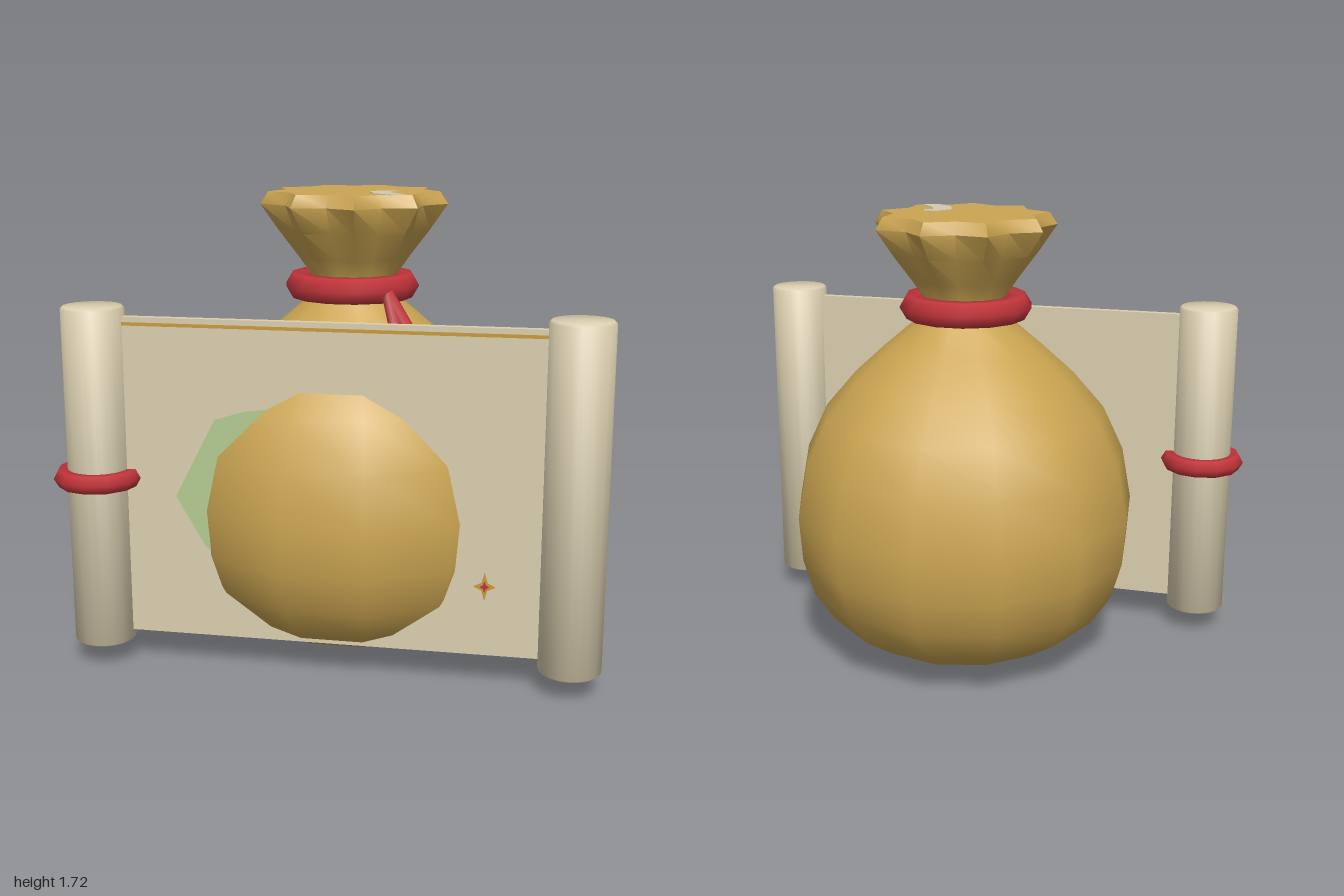
import * as THREE from 'three';
import { mergeVertices, toCreasedNormals } from 'three/addons/utils/BufferGeometryUtils.js';

const mat = (name, color) => {
  const m = new THREE.MeshStandardMaterial({ color });
  m.name = name;
  return m;
};
const v2 = (list) => list.map(([x, y]) => new THREE.Vector2(x, y));

export function createModel() {
  const gold = mat('sackGold', 0xcba552);
  const red = mat('cordRed', 0xc0343a);
  const paper = mat('paper', 0xdbcfb0);
  const green = mat('paleGreen', 0xb4cc92);
  const ochre = mat('ochre', 0xc99a3c);
  const pale = mat('palePatch', 0xd2cab2);

  const model = new THREE.Group();
  model.name = 'sackAndScroll';
  const add = (name, geometry, material, x = 0, y = 0, z = 0, parent = model) => {
    const mesh = new THREE.Mesh(geometry, material);
    mesh.name = name;
    mesh.position.set(x, y, z);
    parent.add(mesh);
    return mesh;
  };

  // Lathe whose radius may be pleated by angle, with seamless smooth normals
  const lathe = (profile, sides, start, pleat) => {
    let g = new THREE.LatheGeometry(v2(profile), sides, start);
    g.deleteAttribute('uv');
    g.deleteAttribute('normal');
    if (pleat) {
      const p = g.attributes.position;
      for (let i = 0; i < p.count; i++) {
        const k = pleat(Math.atan2(p.getZ(i), p.getX(i)), p.getY(i));
        p.setX(i, p.getX(i) * k);
        p.setZ(i, p.getZ(i) * k);
      }
    }
    g = mergeVertices(g, 1e-4);
    g.computeVertexNormals();
    return g;
  };
  const plate = (points, depth = 0.004) =>
    new THREE.ExtrudeGeometry(new THREE.Shape(v2(points)), { depth, bevelEnabled: false });

  // Sack
  const sack = new THREE.Group();
  sack.name = 'sack';
  sack.position.x = 0.03;
  model.add(sack);
  add('sackBody', lathe([
    [0, 0], [0.21, 0.035], [0.4, 0.085], [0.525, 0.17], [0.605, 0.29], [0.645, 0.43],
    [0.657, 0.6], [0.62, 0.8], [0.54, 0.97], [0.42, 1.11], [0.3, 1.22], [0.17, 1.33], [0.14, 1.39],
  ], 13, Math.PI), gold, 0, 0, 0, sack);

  // Pleated mouth: nine folds that deepen towards the rim
  const mouth = lathe([
    [0.14, 1.34], [0.15, 1.4], [0.2, 1.48], [0.265, 1.58], [0.317, 1.675], [0.29, 1.72], [0, 1.72],
  ], 18, Math.PI / 2, (a, y) =>
    1 + 0.1 * THREE.MathUtils.clamp((y - 1.38) / 0.3, 0, 1) * Math.cos(9 * a));
  add('sackMouth', toCreasedNormals(mouth, 0.9), gold, 0, 0, 0, sack);

  // Curved pale patch lying on the closed mouth
  const patch = plate([
    [0.1, -0.08], [0.13, -0.03], [0.19, -0.015], [0.2, -0.04], [0.17, -0.07],
    [0.19, -0.12], [0.25, -0.2], [0.2, -0.23], [0.13, -0.17],
  ], 0.002).rotateX(-Math.PI / 2);
  add('mouthPatch', patch, pale, 0, 1.72, 0);

  // Tie around the neck with two hanging ends
  const cordRing = (radius, tube, sides) =>
    new THREE.TorusGeometry(radius, tube, 6, sides).rotateX(Math.PI / 2);
  add('neckTie', cordRing(0.2, 0.052, 14), red, 0.025, 1.375, 0.01);
  [[0.36, 1.1, 0.265], [0.275, 1.08, 0.285]].forEach((end, i) => {
    const a = new THREE.Vector3(0.185, 1.365, 0.175);
    const b = new THREE.Vector3(...end);
    const dir = b.clone().sub(a);
    const tail = add('tieEnd' + (i + 1),
      new THREE.CylinderGeometry(0.024, 0.03, dir.length(), 6), red);
    tail.position.copy(a).add(b).multiplyScalar(0.5);
    tail.quaternion.setFromUnitVectors(new THREE.Vector3(0, -1, 0), dir.normalize());
  });

  // Scroll sheet
  const front = 0.458;
  add('scrollSheet', new THREE.BoxGeometry(1.58, 1.18, 0.03), paper, 0.025, 0.71, front - 0.015);
  add('sheetStripe', new THREE.BoxGeometry(1.52, 0.012, 0.004), ochre, 0.025, 1.275, front + 0.001);

  // Rolled ends
  for (const [name, x] of [['rightRoll', -0.835], ['leftRoll', 0.885]]) {
    add(name, toCreasedNormals(lathe([
      [0, 0.08], [0.105, 0.08], [0.113, 0.088], [0.113, 1.327], [0.105, 1.335], [0, 1.335],
    ], 20, 0), 0.9), paper, x, 0, 0.447);
  }
  add('rollRing', cordRing(0.128, 0.037, 12), red, -0.835, 0.71, 0.447);

  // Painted marks on the sheet
  add('greenMark', plate([
    [-0.54, 0.65], [-0.43, 0.46], [-0.36, 0.43], [-0.2, 0.6], [-0.2, 0.985], [-0.28, 0.975], [-0.39, 0.94],
  ]), green, 0, 0, front);
  const star = (outer, inner) => plate(Array.from({ length: 8 }, (_, i) => {
    const a = (i * Math.PI) / 4;
    const r = i % 2 ? inner : outer;
    return [r * Math.cos(a) * 0.75, r * Math.sin(a)];
  }));
  add('starMark', star(0.052, 0.02), ochre, 0.58, 0.378, front);
  add('starCentre', star(0.022, 0.01), red, 0.58, 0.378, front + 0.002);

  return model;
}
